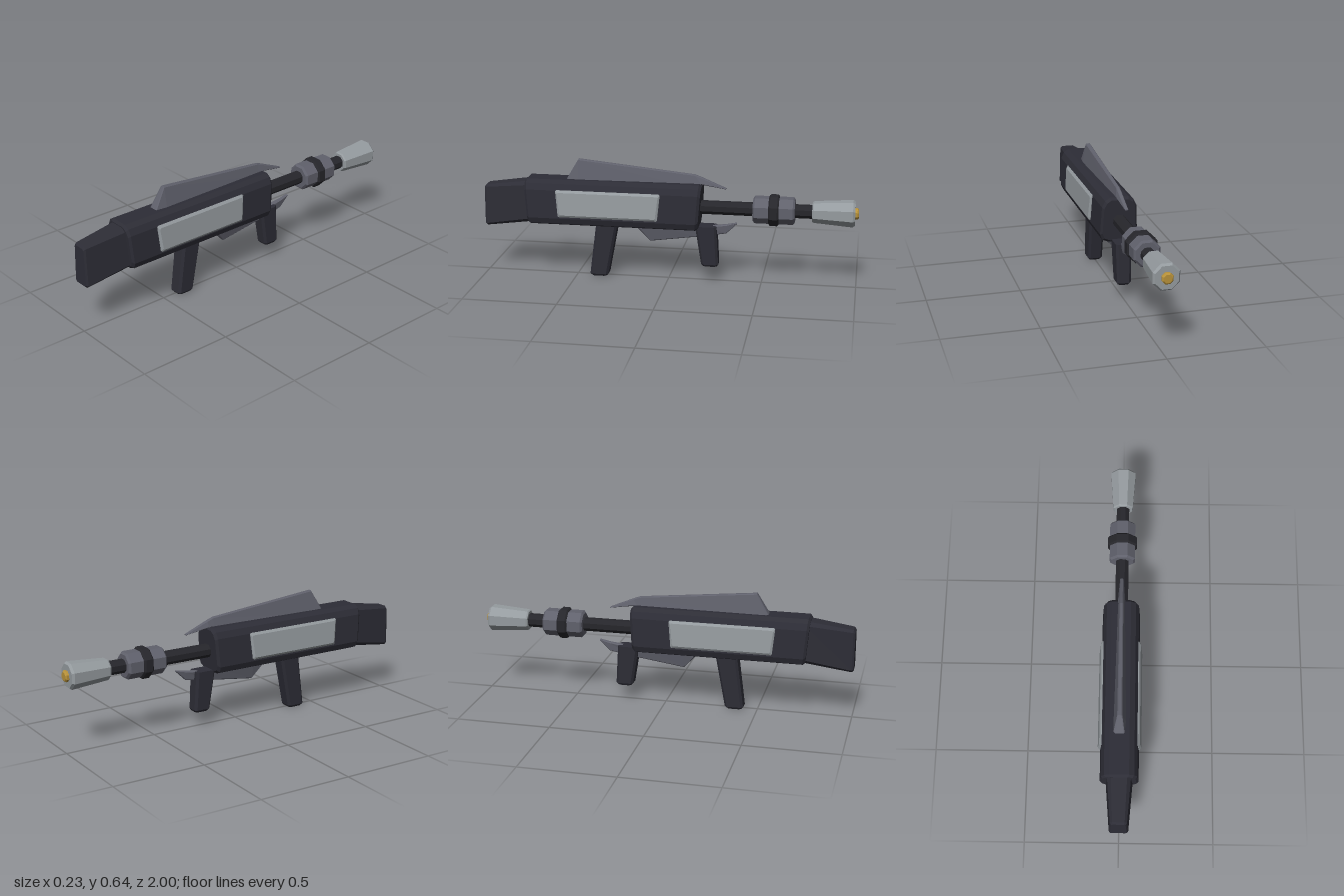
import * as THREE from 'three';

const mat = (name, color, flatShading = true) => {
  const m = new THREE.MeshStandardMaterial({ color, flatShading });
  m.name = name;
  return m;
};

// Mirror the right half of a cross-section (bottom to top) into a closed ring
const ring = (half) => [...half, ...half.slice().reverse().map(([x, y]) => [-x, y])];

// Chamfered trapezoid: half widths w0 (bottom) and w1 (top), chamfer c
const trapezoid = (w0, w1, y0, y1, c) =>
  ring([[w0 - c, y0], [w0, y0 + c], [w1, y1 - c], [w1 - c, y1]]);

// Skin rings ordered from low z to high z; lean tilts a ring about height yMid
function loft(sections, yMid = 0) {
  const rings = sections.map(({ z, pts, lean = 0 }) =>
    pts.map(([x, y]) => [x, y, z + lean * (y - yMid)]));
  const out = [];
  const tri = (a, b, c) => out.push(...a, ...b, ...c);
  const n = rings[0].length;
  for (let s = 0; s < rings.length - 1; s++) {
    for (let i = 0; i < n; i++) {
      const j = (i + 1) % n, p = rings[s], q = rings[s + 1];
      tri(p[i], p[j], q[j]);
      tri(p[i], q[j], q[i]);
    }
  }
  const back = rings[0], front = rings[rings.length - 1];
  for (let i = 1; i < n - 1; i++) {
    tri(back[0], back[i + 1], back[i]);
    tri(front[0], front[i], front[i + 1]);
  }
  const g = new THREE.BufferGeometry();
  g.setAttribute('position', new THREE.Float32BufferAttribute(out, 3));
  g.computeVertexNormals();
  return g;
}

export function createModel() {
  const model = new THREE.Group();
  const dark = mat('darkBody', 0x2d2d36);
  const black = mat('blackBarrel', 0x26262b);
  const grey = mat('finGrey', 0x60616c);
  const silver = mat('paleSilver', 0x959b9f);
  const brass = mat('brass', 0xb8923a);

  const add = (name, geometry, material) => {
    const mesh = new THREE.Mesh(geometry, material);
    mesh.name = name;
    model.add(mesh);
    return mesh;
  };

  // Main housing with rounded shoulders and bevelled, slightly raked ends
  const housing = [[0.055, 0.288], [0.088, 0.302], [0.1, 0.333], [0.092, 0.485],
    [0.076, 0.518], [0.05, 0.535]];
  const inset = (k) => ring(housing.map(([x, y]) => [x * (1 - k), 0.41 + (y - 0.41) * (1 - k)]));
  add('housing', loft([
    { z: -0.172, pts: inset(0.1), lean: -0.07 },
    { z: -0.158, pts: inset(0), lean: -0.07 },
    { z: 0.75, pts: inset(0), lean: 0.08 },
    { z: 0.762, pts: inset(0.1), lean: 0.08 },
  ], 0.41), dark);

  // Tapered stock
  add('stock', loft([
    { z: 0.74, pts: trapezoid(0.07, 0.062, 0.298, 0.522, 0.02) },
    { z: 0.99, pts: trapezoid(0.05, 0.043, 0.262, 0.488, 0.012) },
    { z: 1.0, pts: trapezoid(0.043, 0.036, 0.27, 0.476, 0.008) },
  ]), dark);

  // Grips, skinned upward: each level is [y, half width, front z, back z]
  const grip = (name, levels) => add(name, loft(levels.map(([y, w, zf, zb]) => ({
    z: y, pts: trapezoid(w, w, -zf, -zb, 0.012),
  }))).rotateX(-Math.PI / 2), dark);
  grip('rearGrip', [
    [0, 0.032, 0.418, 0.338],
    [0.012, 0.04, 0.427, 0.328],
    [0.31, 0.043, 0.388, 0.272],
  ]);
  grip('foreGrip', [
    [0.083, 0.03, -0.188, -0.262],
    [0.095, 0.037, -0.178, -0.27],
    [0.305, 0.041, -0.145, -0.258],
  ]);

  // Fins: each station is [z, low y, high y, low half width, high half width]
  const fin = (name, stations) => add(name, loft(stations.map(([z, y0, y1, w0, w1]) => ({
    z, pts: trapezoid(w0, w1, y0, y1, Math.min(0.005, (y1 - y0) / 3)),
  }))), grey);
  fin('topFin', [
    [-0.305, 0.508, 0.513, 0.009, 0.008],
    [-0.175, 0.53, 0.568, 0.019, 0.01],
    [-0.14, 0.51, 0.581, 0.022, 0.01],
    [0.485, 0.51, 0.642, 0.035, 0.013],
    [0.55, 0.51, 0.532, 0.035, 0.026],
  ]);
  fin('bottomFin', [
    [-0.365, 0.32, 0.326, 0.008, 0.009],
    [-0.31, 0.266, 0.315, 0.008, 0.012],
    [-0.18, 0.241, 0.297, 0.01, 0.019],
    [-0.14, 0.238, 0.31, 0.01, 0.022],
    [0.1, 0.205, 0.31, 0.012, 0.032],
    [0.172, 0.284, 0.31, 0.024, 0.032],
  ]);

  // Side panels follow the slope of the housing
  for (const side of [1, -1]) {
    const g = loft([
      { z: 0.09, pts: trapezoid(0.268, 0.281, 0.343, 0.488, 0.006), lean: -0.08 },
      { z: 0.1, pts: trapezoid(0.268, 0.281, 0.343, 0.488, 0.006), lean: -0.08 },
      { z: 0.108, pts: trapezoid(0.258, 0.271, 0.355, 0.476, 0.006), lean: -0.08 },
    ], 0.415).rotateY(side * Math.PI / 2);
    add(side > 0 ? 'leftPanel' : 'rightPanel', g, silver).position.z = 0.315;
  }

  // Octagonal turned parts along the barrel axis, profile as [radius, z]
  const turned = (name, profile, material) => {
    const pts = profile.map(([r, z]) => new THREE.Vector2(r / Math.cos(Math.PI / 8), -z));
    const g = new THREE.LatheGeometry(pts, 8, Math.PI / 8).rotateX(-Math.PI / 2);
    add(name, g, material).position.y = 0.405;
  };
  turned('barrel', [[0, -0.14], [0.034, -0.14], [0.034, -0.78], [0, -0.78]], black);
  turned('collar', [[0, -0.45], [0.058, -0.45], [0.068, -0.46], [0.068, -0.66],
    [0.058, -0.67], [0, -0.67]], grey);
  turned('collarRing', [[0.06, -0.533], [0.07, -0.533], [0.078, -0.541], [0.078, -0.579],
    [0.07, -0.587], [0.06, -0.587]], black);
  turned('muzzle', [[0, -0.76], [0.048, -0.76], [0.053, -0.768], [0.067, -0.97],
    [0.058, -0.982], [0, -0.982]], silver);
  turned('muzzleTip', [[0, -0.975], [0.028, -0.975], [0.028, -0.993], [0.021, -1.0],
    [0, -1.0]], brass);

  return model;
}
